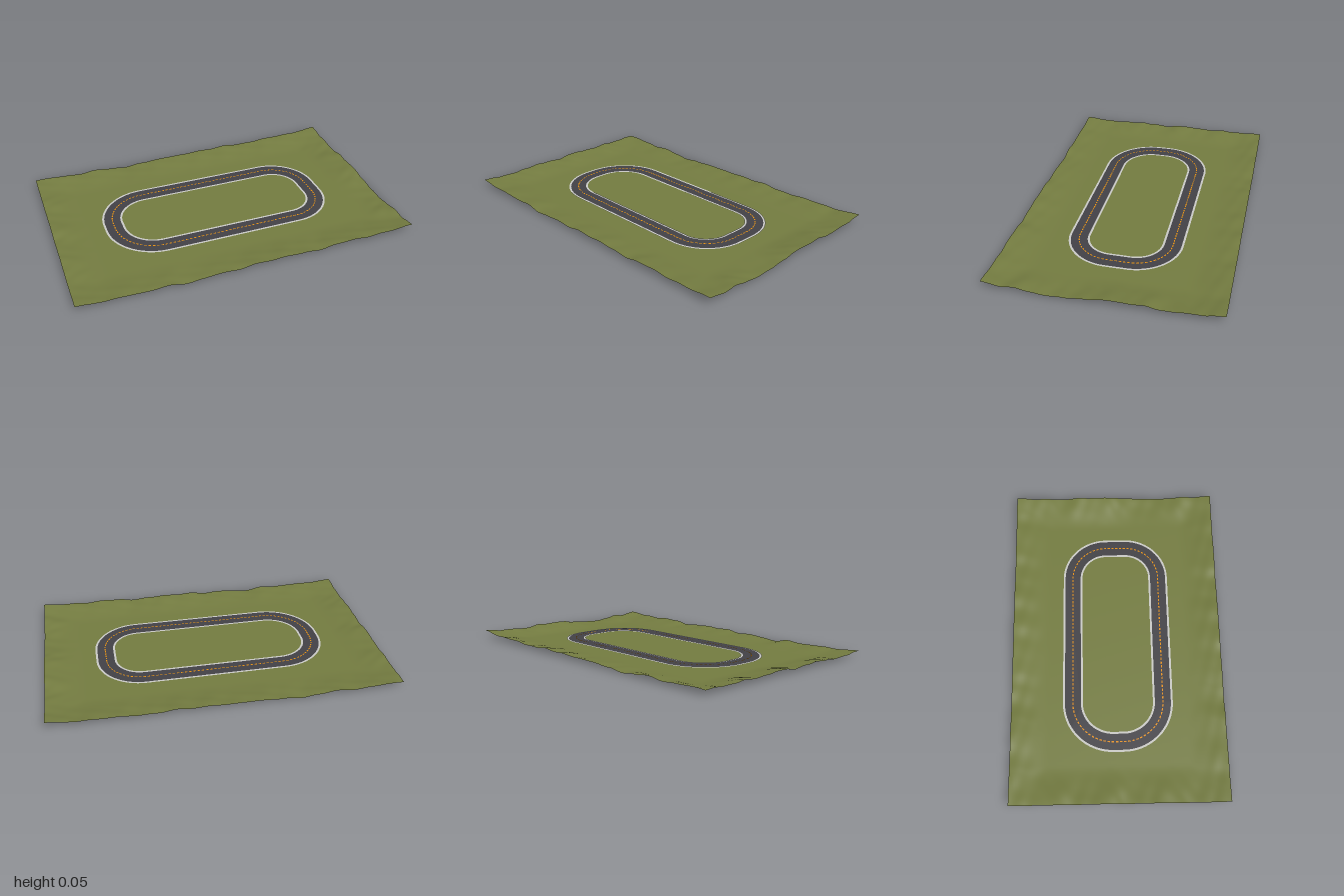
import * as THREE from 'three';

const W = 1, D = 0.64, BASE = 0.002;
const paint = (name, color) => Object.assign(new THREE.MeshStandardMaterial({ color }), { name });

// Heights along each border, evenly spaced (x or z from negative to positive)
const FRONT = [0.035, 0.026, 0.02, 0.022, 0.014, 0.022, 0.007, 0.01, 0.02, 0.016, 0.025, 0.024, 0.028, 0.02, 0.016, 0.028, 0.03, 0.026, 0.03, 0.036, 0.042];
const BACK = [0.03, 0.034, 0.022, 0.018, 0.024, 0.014, 0.006, 0.012, 0.02, 0.022, 0.018, 0.027, 0.022, 0.028, 0.022, 0.018, 0.026, 0.03, 0.028, 0.04, 0.05];
const LEFT = [0.03, 0.032, 0.024, 0.03, 0.022, 0.026, 0.034, 0.02, 0.024, 0.03, 0.025, 0.018, 0.028, 0.035];
const RIGHT = [0.05, 0.04, 0.03, 0.025, 0.039, 0.034, 0.04, 0.026, 0.012, 0.008, 0.015, 0.03, 0.024, 0.042];

function sample(list, t) {
  const f = THREE.MathUtils.clamp(t, 0, 1) * (list.length - 1);
  const i = Math.min(Math.floor(f), list.length - 2);
  return THREE.MathUtils.lerp(list[i], list[i + 1], THREE.MathUtils.smoothstep(f - i, 0, 1));
}

// Flat in the middle, rising to uneven banks at the border
function groundHeight(x, z) {
  const u = (x + W) / (2 * W), v = (z + D) / (2 * D);
  const rx = THREE.MathUtils.smoothstep(Math.abs(x), 0.78, 1.02);
  const rz = THREE.MathUtils.smoothstep(Math.abs(z), 0.42, 0.66);
  const hx = sample(x > 0 ? RIGHT : LEFT, v + 0.01 * Math.sin(x * 30));
  const hz = sample(z > 0 ? FRONT : BACK, u + 0.006 * Math.sin(z * 34));
  const ripple = 0.003 * Math.sin(x * 31 + 2 * Math.sin(z * 17)) * Math.sin(z * 37 + x * 9);
  const ramp = Math.max(rx, rz);
  const bank = rx + rz > 0 ? (hx * rx * rx + hz * rz * rz) / (rx + rz) : 0;
  return Math.max(0, BASE + bank + ripple * ramp);
}

function terrain() {
  const geo = new THREE.PlaneGeometry(2 * W, 2 * D, 120, 80).rotateX(-Math.PI / 2);
  const p = geo.attributes.position;
  for (let i = 0; i < p.count; i++) p.setY(i, groundHeight(p.getX(i), p.getZ(i)));
  geo.computeVertexNormals();
  return geo;
}

// Rounded loop, offset outward from the centre line; the left bends are wider
function loop(offset, Type = THREE.Shape) {
  const x = 0.637 + offset, z = 0.271 + offset;
  const l = 0.24 + offset, r = 0.21 + offset, q = Math.PI / 2;
  const s = new Type();
  s.moveTo(-x + l, -z);
  s.lineTo(x - r, -z);
  s.absarc(x - r, -z + r, r, -q, 0);
  s.lineTo(x, z - r);
  s.absarc(x - r, z - r, r, 0, q);
  s.lineTo(-x + l, z);
  s.absarc(-x + l, z - l, l, q, 2 * q);
  s.lineTo(-x, -z + l);
  s.absarc(-x + l, -z + l, l, 2 * q, 3 * q);
  return s;
}

function band(inner, outer, y) {
  const shape = loop(outer);
  shape.holes.push(loop(inner, THREE.Path));
  return new THREE.ShapeGeometry(shape, 16).rotateX(-Math.PI / 2).translate(0, y, 0);
}

export function createModel() {
  const grass = paint('grass', 0x737b40);
  grass.side = THREE.DoubleSide;
  const asphalt = paint('asphalt', 0x424146);
  const kerb = paint('kerb', 0xc8c8c4);
  const orange = paint('orangeLine', 0xf0960f);

  const model = new THREE.Group();
  model.name = 'trackField';
  const add = (name, geo, mat, parent = model) => {
    const mesh = new THREE.Mesh(geo, mat);
    mesh.name = name;
    parent.add(mesh);
    return mesh;
  };

  add('terrain', terrain(), grass);

  // Road surface with a pale border on both sides
  add('road', band(-0.048, 0.048, 0.006), asphalt);
  add('outerBorder', band(0.048, 0.06, 0.006), kerb);
  add('innerBorder', band(-0.06, -0.048, 0.006), kerb);

  // Dashed centre line
  const dashes = new THREE.Group();
  dashes.name = 'centreLine';
  model.add(dashes);
  const path = loop(0);
  path.closePath();
  path.arcLengthDivisions = 800;
  const dash = new THREE.PlaneGeometry(0.015, 0.007).rotateX(-Math.PI / 2);
  const count = 132;
  for (let i = 0; i < count; i++) {
    const p = path.getPointAt(i / count), t = path.getTangentAt(i / count);
    const mesh = add('dash', dash, orange, dashes);
    mesh.position.set(p.x, 0.008, -p.y);
    mesh.rotation.y = Math.atan2(t.y, t.x);
  }
  return model;
}
